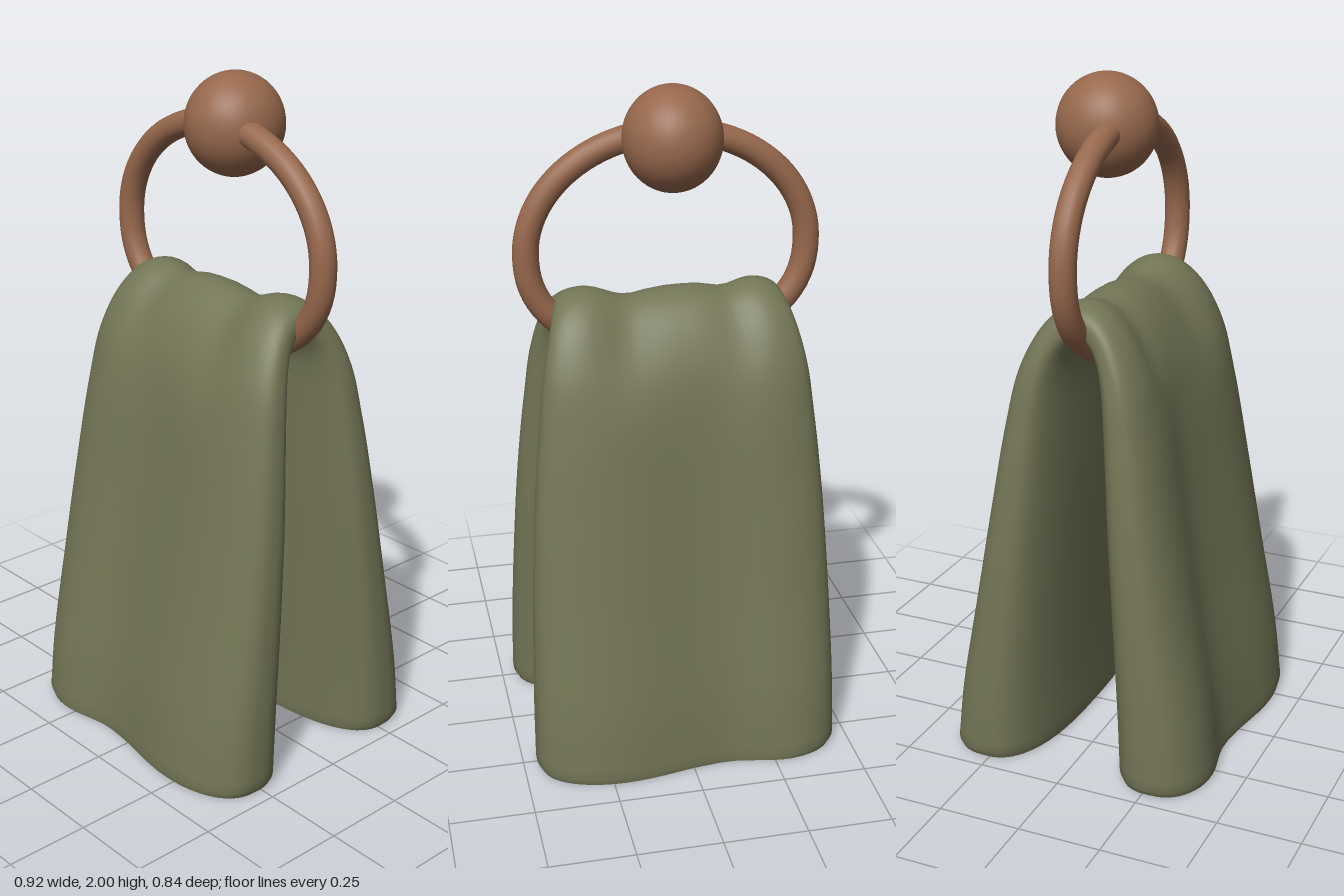
import * as THREE from 'three';

// Half of the towel, hem to fold: outer y, outer z, inner y, inner z, half width
const HALF = [
  [0.02, 0.423, 0.02, 0.098, 0.461],
  [0.2, 0.4, 0.2, 0.093, 0.459],
  [0.5, 0.342, 0.5, 0.08, 0.448],
  [0.8, 0.287, 0.8, 0.065, 0.43],
  [1.05, 0.242, 1.05, 0.052, 0.405],
  [1.22, 0.2, 1.17, 0.044, 0.386],
  [1.345, 0.135, 1.225, 0.035, 0.364],
  [1.41, 0.065, 1.255, 0.02, 0.347],
  [1.428, 0, 1.265, 0, 0.34],
];

const bump = (u, centre, width) => Math.exp(-(((u - centre) / width) ** 2));
const signedPow = (v, p) => Math.sign(v) * Math.abs(v) ** p;

// Hollow cloth: squarish cross-sections swept over the ring and down both sides
function towelGeometry() {
  const back = HALF.slice(0, -1).reverse().map(([oy, oz, iy, iz, w]) => [oy, -oz, iy, -iz, w]);
  const stations = [...HALF, ...back];
  const outer = new THREE.CatmullRomCurve3(stations.map((s) => new THREE.Vector3(0, s[0], s[1])));
  const inner = new THREE.CatmullRomCurve3(stations.map((s) => new THREE.Vector3(s[4], s[2], s[3])));
  const rows = 96, cols = 72;
  const positions = [], indices = [];

  // The first and last rows turn the hem slightly inward
  for (let r = -1; r <= rows + 1; r++) {
    const hem = r < 0 || r > rows;
    const s = THREE.MathUtils.clamp(r / rows, 0, 1);
    const o = outer.getPoint(s), i = inner.getPoint(s);
    const fold = THREE.MathUtils.smoothstep(o.y, 1.05, 1.4);
    const shrink = hem ? 0.975 : 1;
    for (let c = 0; c < cols; c++) {
      const t = (c / cols) * Math.PI * 2;
      const u = signedPow(Math.cos(t), 0.72);
      let d = signedPow(Math.sin(t), Math.sin(t) > 0 ? 0.72 : 0.84);
      // Soft drape: one valley low down, two small ones at the fold
      if (d > 0) {
        const low = 0.33 * bump(u, -0.23, u < -0.23 ? 0.35 : 0.55);
        const high = 0.4 * bump(u, -0.1, 0.6) + 0.24 * bump(u, -0.5, 0.17) + 0.36 * bump(u, 0.38, 0.24);
        d *= (1.1 + 0.06 * fold) * (1 - THREE.MathUtils.lerp(low, high, fold));
      }
      const mix = 0.5 + 0.5 * d * shrink;
      positions.push(
        i.x * u * shrink,
        hem ? 0 : THREE.MathUtils.lerp(i.y, o.y, mix),
        THREE.MathUtils.lerp(i.z, o.z, mix),
      );
    }
  }
  for (let r = 0; r < rows + 2; r++) {
    for (let c = 0; c < cols; c++) {
      const n = (c + 1) % cols;
      const a = r * cols + c, b = r * cols + n;
      indices.push(a, a + cols, b, b, a + cols, b + cols);
    }
  }
  const geometry = new THREE.BufferGeometry();
  geometry.setAttribute('position', new THREE.Float32BufferAttribute(positions, 3));
  geometry.setIndex(indices);
  geometry.computeVertexNormals();
  return geometry;
}

// Oval hoop of round bar, a little fuller at the bottom
function ringGeometry() {
  const points = [];
  for (let k = 0; k < 40; k++) {
    const a = (k / 40) * Math.PI * 2;
    const sin = Math.sin(a);
    const y = sin > 0 ? 0.334 * sin : 0.307 * signedPow(sin, 0.85);
    points.push(new THREE.Vector3(0.41 * Math.cos(a), y, 0));
  }
  return new THREE.TubeGeometry(new THREE.CatmullRomCurve3(points, true), 96, 0.038, 16, true);
}

export function createModel() {
  const cloth = new THREE.MeshStandardMaterial({ color: 0x737556, side: THREE.DoubleSide });
  cloth.name = 'olive cloth';
  const copper = new THREE.MeshStandardMaterial({ color: 0x97684d });
  copper.name = 'copper brown';

  const model = new THREE.Group();
  model.name = 'towelRing';
  const add = (name, geometry, material, x, y, z) => {
    const mesh = new THREE.Mesh(geometry, material);
    mesh.name = name;
    mesh.position.set(x, y, z);
    model.add(mesh);
  };

  add('towel', towelGeometry(), cloth, 0, 0, 0);
  add('ring', ringGeometry(), copper, -0.002, 1.525, -0.002);
  const knob = new THREE.SphereGeometry(0.148, 40, 28).scale(0.955, 1.01, 1);
  add('wallKnob', knob, copper, -0.004, 1.85, -0.053);
  return model;
}
